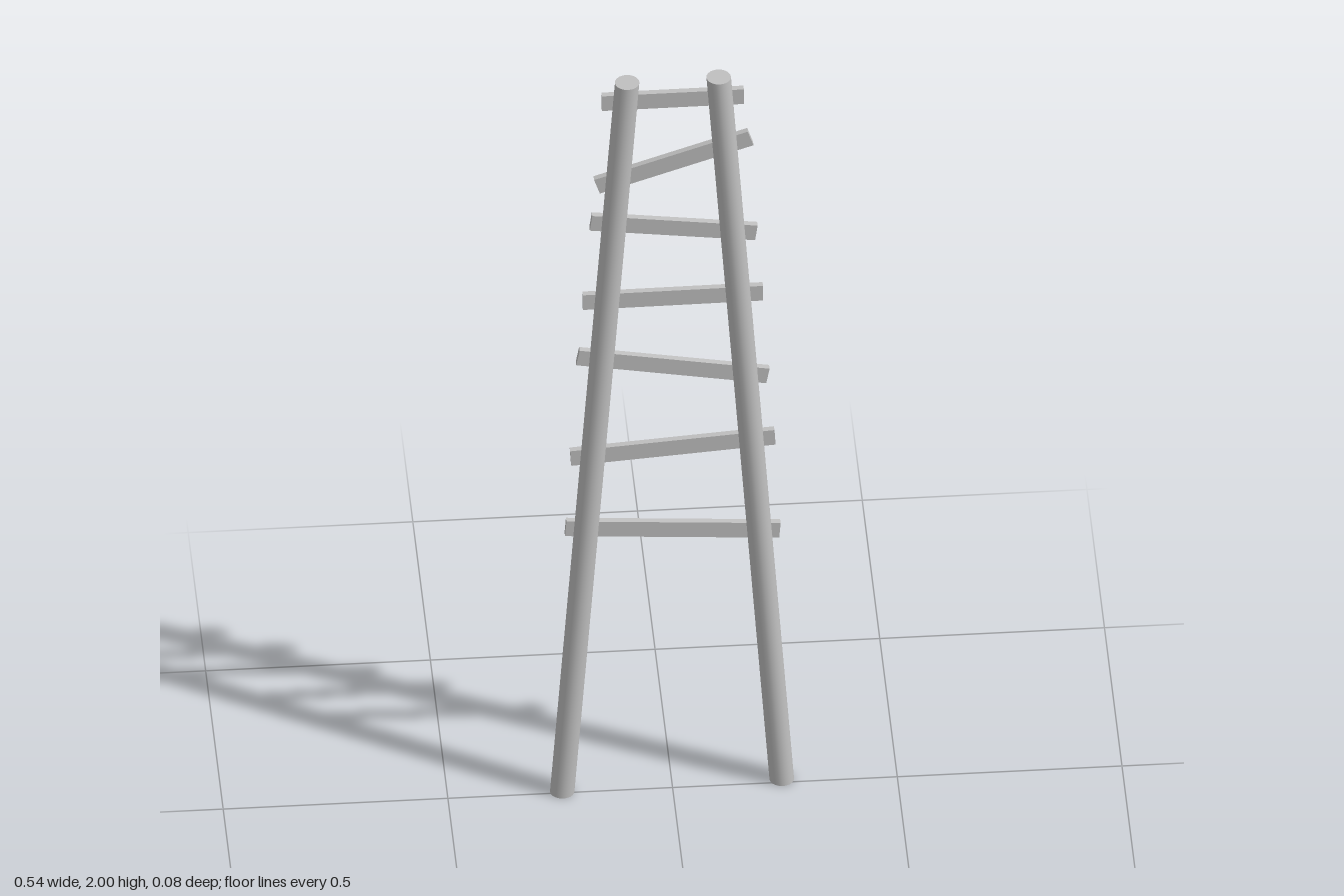
import * as THREE from 'three';

const HEIGHT = 2;
const POLE_RADIUS = 0.0273;

// Round pole with level ends, sheared so its axis runs from foot to head.
function makePole(name, foot, head, material) {
  const geometry = new THREE.CylinderGeometry(POLE_RADIUS, POLE_RADIUS, HEIGHT, 20);
  geometry.translate(0, HEIGHT / 2, 0);
  const sx = (head[0] - foot[0]) / HEIGHT;
  const sz = (head[1] - foot[1]) / HEIGHT;
  geometry.applyMatrix4(new THREE.Matrix4().set(
    1, sx, 0, foot[0],
    0, 1, 0, 0,
    0, sz, 1, foot[1],
    0, 0, 0, 1
  ));
  const pole = new THREE.Mesh(geometry, material);
  pole.name = name;
  return pole;
}

// Flat slat whose long axis joins two points.
function makeRung(name, start, end, material) {
  const along = end.clone().sub(start);
  const rung = new THREE.Mesh(new THREE.BoxGeometry(along.length(), 0.041, 0.014), material);
  rung.position.copy(start).add(end).multiplyScalar(0.5);
  rung.quaternion.setFromUnitVectors(new THREE.Vector3(1, 0, 0), along.normalize());
  rung.name = name;
  return rung;
}

export function createModel() {
  const model = new THREE.Group();
  model.name = 'ladder';
  const grey = new THREE.MeshStandardMaterial({ color: 0xc0c0c0 });
  grey.name = 'grey';

  // Two poles leaning together towards the top: [x, z] at foot and head
  model.add(makePole('rightPole', [-0.245, -0.0065], [-0.102, 0.0125], grey));
  model.add(makePole('leftPole', [0.244, -0.0135], [0.102, 0.0085], grey));

  // Crooked rungs fixed behind the poles: right end x, y, left end x, y
  const rungs = [
    [-0.236, 0.725, 0.241, 0.688],
    [-0.225, 0.923, 0.230, 0.952],
    [-0.209, 1.206, 0.214, 1.127],
    [-0.198, 1.362, 0.203, 1.362],
    [-0.180, 1.585, 0.188, 1.534],
    [-0.167, 1.688, 0.175, 1.802],
    [-0.156, 1.922, 0.160, 1.922],
  ];
  rungs.forEach(([x0, y0, x1, y1], i) => {
    const t = i / (rungs.length - 1);
    const start = new THREE.Vector3(x0, y0, THREE.MathUtils.lerp(-0.029, -0.022, t));
    const end = new THREE.Vector3(x1, y1, THREE.MathUtils.lerp(-0.034, -0.023, t));
    model.add(makeRung(`rung${i + 1}`, start, end, grey));
  });

  return model;
}
